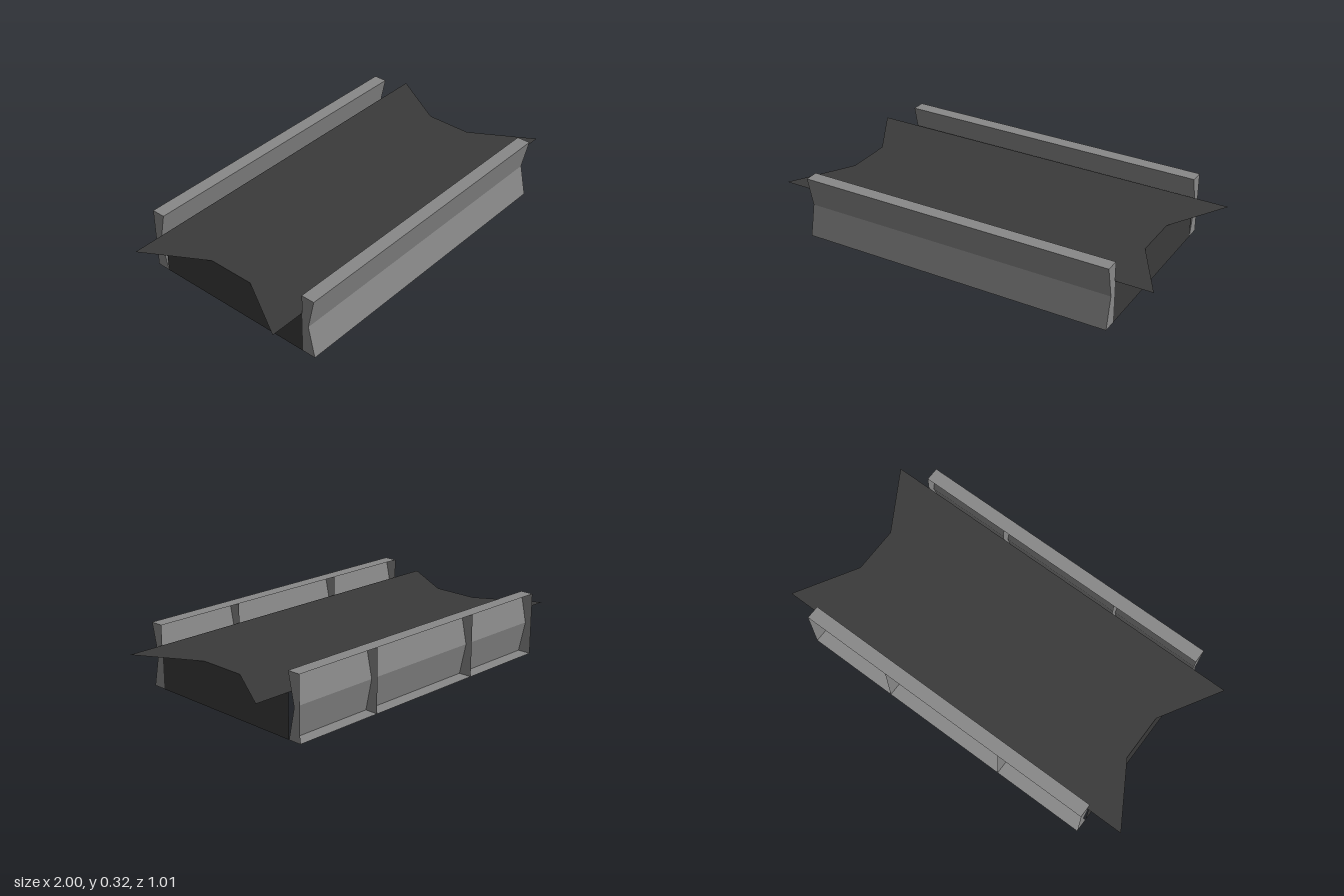
import * as THREE from 'three';

const HALF = 0.815;   // half length of rails and deck body
const DECK_Y = 0.22;
const DECK_Z = 0.435;

// Open-backed rail profile as [z, y], running from back bottom to back top
const PROFILE = [[-0.035, 0], [0.035, 0], [0, 0.16], [0.035, 0.32], [-0.035, 0.32]];

// Sweeps the open profile along x as flat strips
function railShell() {
  const pos = [];
  for (let i = 0; i < PROFILE.length - 1; i++) {
    const [z0, y0] = PROFILE[i], [z1, y1] = PROFILE[i + 1];
    const a = [-HALF, y0, z0], b = [HALF, y0, z0], c = [HALF, y1, z1], d = [-HALF, y1, z1];
    pos.push(...a, ...b, ...c, ...a, ...c, ...d);
  }
  const geo = new THREE.BufferGeometry();
  geo.setAttribute('position', new THREE.Float32BufferAttribute(pos, 3));
  geo.computeVertexNormals();
  return geo;
}

export function createModel() {
  const steel = new THREE.MeshStandardMaterial({ color: 0x888888, side: THREE.DoubleSide });
  steel.name = 'grey steel';
  const dark = new THREE.MeshStandardMaterial({ color: 0x3a3a3a, side: THREE.DoubleSide });
  dark.name = 'dark deck';

  const model = new THREE.Group();
  model.name = 'trough';
  const add = (parent, name, geo, mat, x = 0, y = 0, z = 0) => {
    const mesh = new THREE.Mesh(geo, mat);
    mesh.name = name;
    mesh.position.set(x, y, z);
    parent.add(mesh);
    return mesh;
  };

  // Two identical rails, both with the groove facing forward and an open back
  const shell = railShell();
  const section = new THREE.ShapeGeometry(
    new THREE.Shape(PROFILE.map(([z, y]) => new THREE.Vector2(z, y)))
  ).rotateY(-Math.PI / 2);
  for (const side of [1, -1]) {
    const rail = new THREE.Group();
    rail.name = side > 0 ? 'frontRail' : 'backRail';
    rail.position.z = side * 0.47;
    add(rail, 'railShell', shell, steel);
    // End caps and inner ribs
    for (const x of [-HALF, -0.335, 0.335, HALF]) {
      add(rail, Math.abs(x) === HALF ? 'endCap' : 'rib', section, steel, x);
    }
    model.add(rail);
  }

  // Thin deck with pointed corners
  const outline = [
    [-1, -DECK_Z], [-HALF, -0.12], [-HALF, 0.12], [-1, DECK_Z],
    [1, DECK_Z], [HALF, 0.12], [HALF, -0.12], [1, -DECK_Z],
  ].map(([x, z]) => new THREE.Vector2(x, -z));
  const deck = new THREE.ShapeGeometry(new THREE.Shape(outline)).rotateX(-Math.PI / 2);
  add(model, 'deck', deck, dark, 0, DECK_Y, 0);

  // Plates closing both ends below the deck
  for (const side of [1, -1]) {
    const plate = new THREE.PlaneGeometry(2 * DECK_Z, DECK_Y).rotateY(side * Math.PI / 2);
    add(model, side > 0 ? 'leftEndPlate' : 'rightEndPlate', plate, dark, side * HALF, DECK_Y / 2, 0);
  }
  return model;
}
